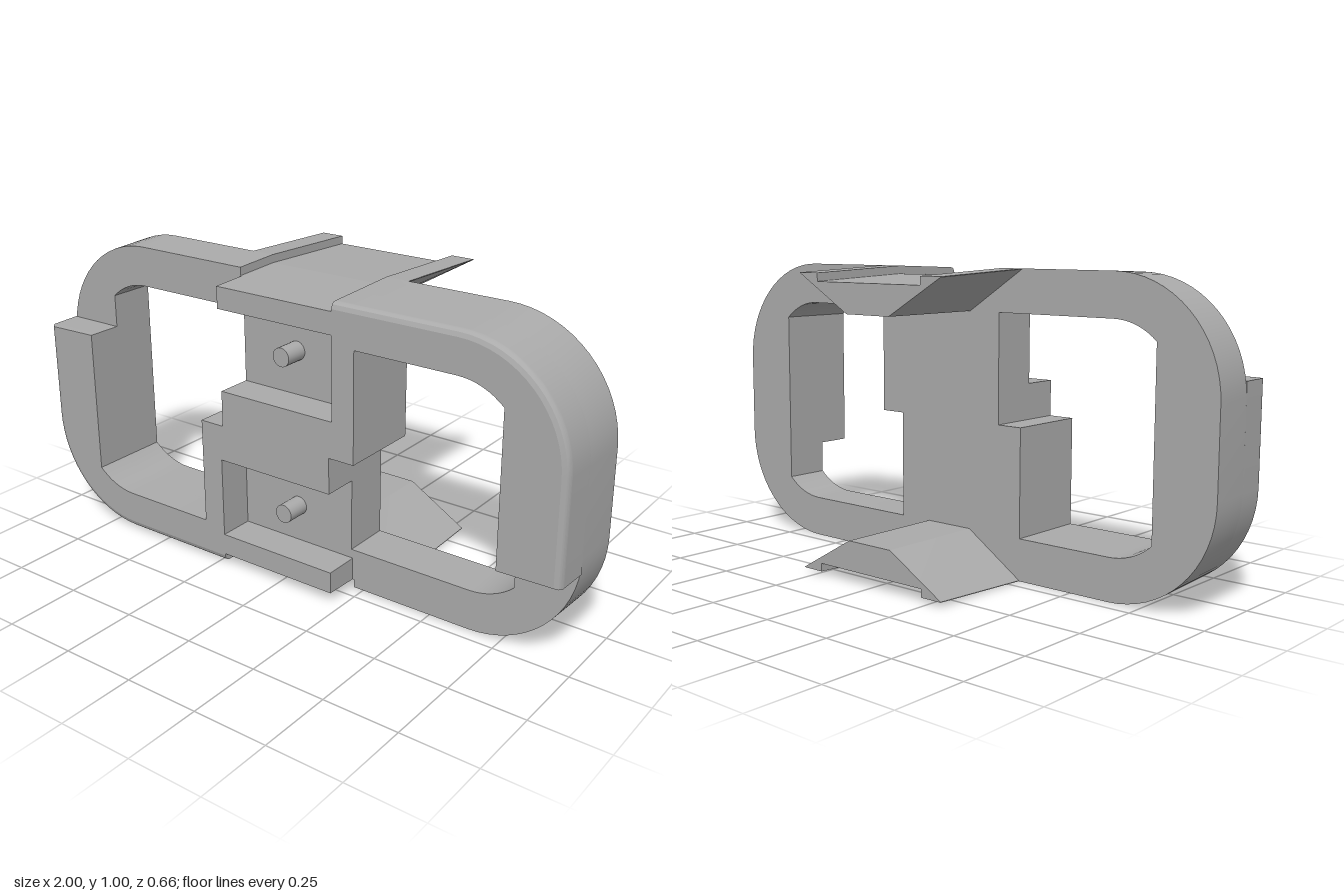
import * as THREE from 'three';
import { toCreasedNormals } from 'three/addons/utils/BufferGeometryUtils.js';

// All outlines are drawn around the bracket's centre, which is raised to y = 0.5 at the end.
const BACK = 0.05, STEP = 0.21, FRONT = 0.33, REAR = -0.33;
const CORE_X = 0.64, CORE_Y = 0.14, OUTER = 0.36, INNER = 0.22, FILLET = 0.02;
const CUT = Math.acos(0.15 / INNER); // where the inner corner meets the side wall

function arc(cx, cy, r, a0, a1, n = 16) {
  return Array.from({ length: n + 1 }, (_, i) => {
    const a = a0 + (a1 - a0) * i / n;
    return [cx + r * Math.cos(a), cy + r * Math.sin(a)];
  });
}
const turned = pts => pts.map(([x, y]) => [-x, -y]);
const toPath = (pts, Type) => new Type(pts.map(p => new THREE.Vector2(...p)));

// Extrude from z0 to z1, then draft the outer walls and round the outer front edge
function layer(pts, z0, z1, steps = 1, holes = []) {
  const shape = toPath(pts, THREE.Shape);
  shape.holes = holes.map(h => toPath(h, THREE.Path));
  const geo = new THREE.ExtrudeGeometry(shape, { depth: z1 - z0, steps, bevelEnabled: false });
  geo.translate(0, 0, z0);
  const pos = geo.attributes.position;
  for (let i = 0; i < pos.count; i++) {
    const x = pos.getX(i), y = pos.getY(i), z = pos.getZ(i);
    const qx = THREE.MathUtils.clamp(x, -CORE_X, CORE_X);
    const qy = THREE.MathUtils.clamp(y, -CORE_Y, CORE_Y);
    const r = Math.hypot(x - qx, y - qy);
    if (r < 0.3) continue;
    let inset = 0.012 * Math.abs(z - BACK) / 0.3;
    const t = (z - (FRONT - FILLET)) / FILLET;
    if (r > 0.355 && t > 0) inset += FILLET * (1 - Math.sqrt(Math.max(0, 1 - t * t)));
    const k = (r - inset) / r;
    pos.setXY(i, qx + (x - qx) * k, qy + (y - qy) * k);
  }
  return toCreasedNormals(geo, 0.3);
}

export function createModel() {
  const grey = new THREE.MeshStandardMaterial({ color: 0xaaaaaa });
  grey.name = 'plain grey';
  const model = new THREE.Group();
  model.name = 'bracket';
  const add = (name, geo, turn = 0) => {
    const mesh = new THREE.Mesh(geo, grey);
    mesh.name = name;
    mesh.rotation.z = turn;
    mesh.position.y = 0.5;
    model.add(mesh);
  };

  // Rear layer of the frame: full rounded outline with grooves and two stepped windows
  const upper = [
    ...arc(CORE_X, CORE_Y, OUTER, 0, Math.PI / 2),
    [0.22, 0.5], [0.22, 0.473], [-0.22, 0.473], [-0.22, 0.5],
    ...arc(-CORE_X, CORE_Y, OUTER, Math.PI / 2, Math.PI),
  ];
  const window = [
    [0.3, 0], [0.3, 0.36],
    ...arc(CORE_X, CORE_Y, INNER, Math.PI / 2, CUT, 8),
    ...arc(CORE_X, -CORE_Y, INNER, -CUT, -Math.PI / 2, 8),
    [0.21, -0.36], [0.21, 0],
  ];
  add('frameBack', layer([...upper, ...turned(upper)], BACK, STEP, 1, [window, turned(window)]));

  // Front layer: half column with an open pocket, top bar and outer arm
  const half = [
    [-0.21, 0], [0.3, 0], [0.3, 0.36],
    ...arc(CORE_X, CORE_Y, INNER, Math.PI / 2, CUT, 8),
    [0.79, -0.19], [1, -0.19],
    ...arc(CORE_X, CORE_Y, OUTER, 0, Math.PI / 2),
    [0.22, 0.5], [0.22, 0.473], [-0.215, 0.473], [-0.215, 0.39],
    [0.22, 0.39], [0.22, 0.12], [-0.21, 0.12],
  ];
  const frontGeo = layer(half, STEP, FRONT, 24);

  // Rear fin: tapered wedge with a grooved outer face
  const fin = [
    [-0.3, 0.498], [-0.09, 0.36], [0.09, 0.36], [0.3, 0.498],
    [0.3, 0.5], [0.22, 0.5], [0.22, 0.473], [-0.22, 0.473], [-0.22, 0.5], [-0.3, 0.5],
  ];
  const finGeo = layer(fin, REAR, BACK);

  // Locating peg in each pocket
  const pegGeo = new THREE.CylinderGeometry(0.031, 0.031, 0.08, 24);
  pegGeo.rotateX(Math.PI / 2).translate(0, 0.265, STEP + 0.04);

  // Upper parts, repeated by a half turn for the lower ones
  for (const [side, turn] of [['upper', 0], ['lower', Math.PI]]) {
    add(side + 'FrontArm', frontGeo, turn);
    add(side + 'RearFin', finGeo, turn);
    add(side + 'Peg', pegGeo, turn);
  }
  return model;
}
